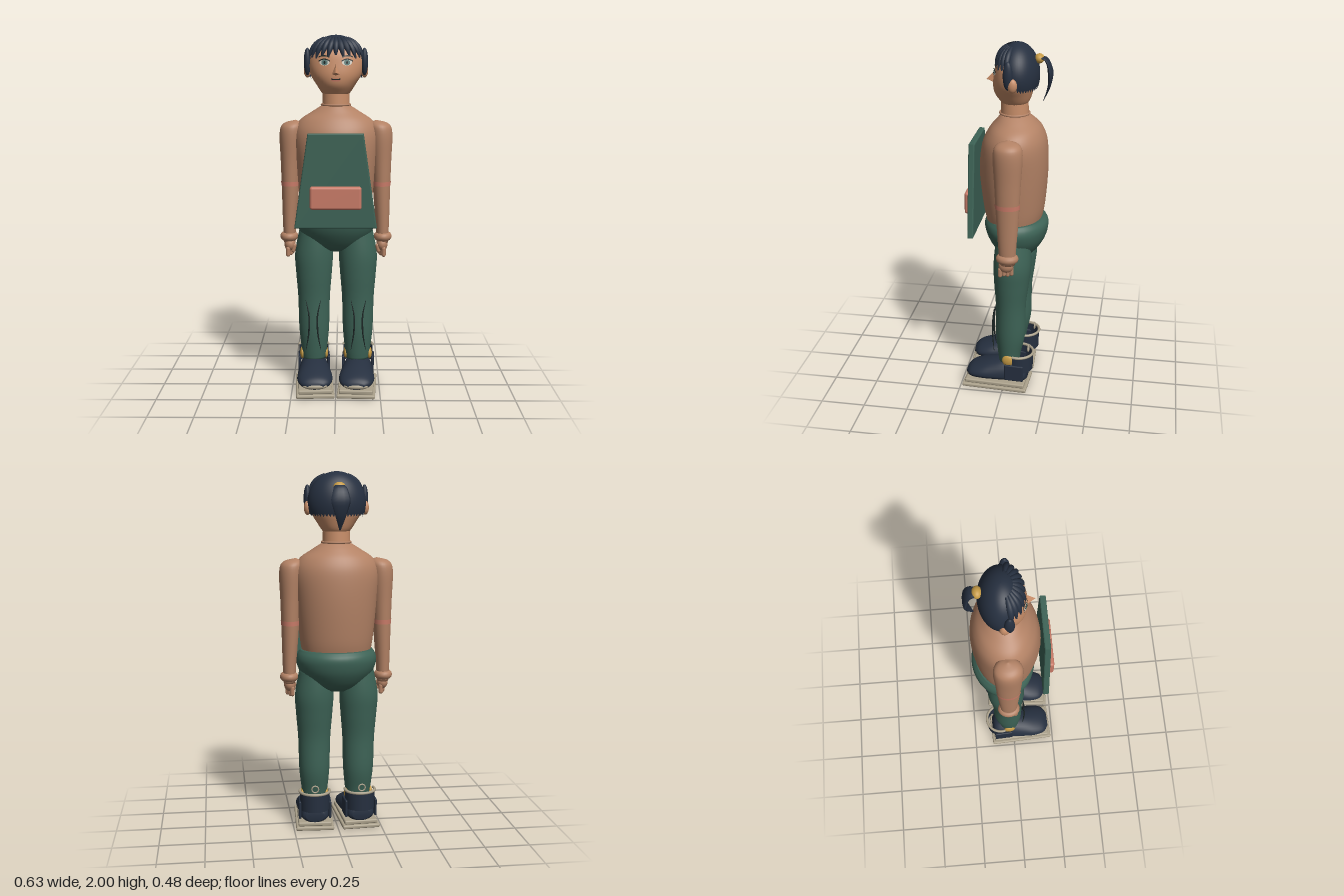
import * as THREE from 'three';
import { RoundedBoxGeometry } from 'three/addons/geometries/RoundedBoxGeometry.js';
import { ConvexGeometry } from 'three/addons/geometries/ConvexGeometry.js';

const mat = (name, color, side = THREE.FrontSide) => {
  const m = new THREE.MeshStandardMaterial({ color, side });
  m.name = name;
  return m;
};

// Smooth closed skin through elliptical rings [height, cx, cz, halfWidth, front, back]
function loft(rings, seg = 32, steps = 5) {
  const spline = new THREE.CubicInterpolant(rings.map((_, i) => i), rings.flat(), 6);
  const rows = (rings.length - 1) * steps, pos = [], idx = [];
  for (let j = 0; j <= rows; j++) {
    const [y, cx, cz, rx, rf, rb] = spline.evaluate(j / steps);
    for (let i = 0; i < seg; i++) {
      const a = (i / seg) * Math.PI * 2, c = Math.cos(a);
      pos.push(cx + Math.max(rx, 0) * Math.sin(a), y, cz + Math.max(c > 0 ? rf : rb, 0) * c);
    }
  }
  for (let j = 0; j < rows; j++) for (let i = 0; i < seg; i++) {
    const a = j * seg + i, b = j * seg + (i + 1) % seg;
    idx.push(a, b, b + seg, a, b + seg, a + seg);
  }
  const low = pos.length / 3, top = rings.length - 1;
  pos.push(rings[0][1], rings[0][0], rings[0][2], rings[top][1], rings[top][0], rings[top][2]);
  for (let i = 0; i < seg; i++) {
    const n = (i + 1) % seg;
    idx.push(low, n, i, low + 1, rows * seg + i, rows * seg + n);
  }
  const g = new THREE.BufferGeometry();
  g.setAttribute('position', new THREE.Float32BufferAttribute(pos, 3));
  g.setIndex(idx);
  g.computeVertexNormals();
  return g;
}

// Tube whose width follows a profile; flat stretches it sideways
function taperTube(points, r, profile, flat = 1) {
  const n = 16, radial = 10;
  const curve = new THREE.CatmullRomCurve3(points);
  const g = new THREE.TubeGeometry(curve, n, r, radial), p = g.attributes.position;
  const v = new THREE.Vector3();
  for (let i = 0; i < p.count; i++) {
    const u = Math.floor(i / (radial + 1)) / n, c = curve.getPointAt(u);
    v.fromBufferAttribute(p, i).sub(c).multiplyScalar(profile(u));
    p.setXYZ(i, c.x + v.x * flat, c.y + v.y, c.z + v.z);
  }
  g.computeVertexNormals();
  return g;
}

export function createModel() {
  const model = new THREE.Group();
  model.name = 'figure';
  const skin = mat('body skin', 0xb38265), face = mat('face skin', 0xc88e69);
  const green = mat('green cloth', 0x3d6356), navy = mat('navy', 0x263040, THREE.DoubleSide);
  const coral = mat('coral', 0xc97b68), stone = mat('stone', 0xaca28c);
  const gold = mat('gold', 0xc59a45), dark = mat('dark line', 0x1d2726);
  const white = mat('eye white', 0xd8d3c8), iris = mat('iris', 0x5d7f7b);

  const add = (name, geo, m, x = 0, y = 0, z = 0, parent = model) => {
    const mesh = new THREE.Mesh(geo, m);
    mesh.name = name;
    mesh.position.set(x, y, z);
    parent.add(mesh);
    return mesh;
  };
  const ball = (name, m, x, y, z, sx, sy, sz, parent) =>
    add(name, new THREE.SphereGeometry(1, 20, 14).scale(sx, sy, sz), m, x, y, z, parent);

  // Trunk
  add('torso', loft([
    [1.0, 0, -.035, .19, .15, .15], [1.1, 0, -.035, .205, .17, .17], [1.3, 0, -.035, .225, .19, .185],
    [1.45, 0, -.035, .235, .175, .18], [1.53, 0, -.035, .205, .14, .155],
    [1.58, 0, -.035, .135, .1, .115], [1.615, 0, -.035, .08, .072, .075]], 48), skin);
  add('neck', new THREE.CylinderGeometry(.073, .077, .14, 32), face, 0, 1.64, -.035);
  add('neckline', new THREE.TorusGeometry(.079, .006, 8, 40).rotateX(Math.PI / 2), skin, 0, 1.62, -.035);
  add('pelvis', loft([
    [.795, 0, -.035, .09, .045, .07], [.83, 0, -.035, .15, .09, .125], [.9, 0, -.035, .203, .137, .172],
    [.96, 0, -.035, .224, .16, .19], [1.0, 0, -.035, .219, .162, .188],
    [1.03, 0, -.035, .2, .145, .165]], 40), green);

  // Apron board and pocket
  const board = new THREE.Shape([[-.218, .967], [.218, .967], [.145, 1.47], [-.145, 1.47]]
    .map(([x, y]) => new THREE.Vector2(x, y)));
  add('apron', new THREE.ExtrudeGeometry(board, {
    depth: .02, bevelThickness: .007, bevelSize: .007, bevelSegments: 3 }), green, 0, 0, .165);
  add('pocket', new RoundedBoxGeometry(.28, .125, .045, 4, .014), coral, 0, 1.13, .2);

  // Head
  const head = add('head', loft([
    [1.665, 0, -.035, .06, .06, .06], [1.69, 0, -.035, .082, .08, .08], [1.73, 0, -.035, .108, .107, .095],
    [1.78, 0, -.035, .138, .115, .108], [1.84, 0, -.035, .15, .108, .115], [1.9, 0, -.035, .14, .095, .11],
    [1.95, 0, -.04, .1, .07, .085], [1.98, 0, -.045, .04, .03, .03], [1.985, 0, -.045, 0, 0, 0]], 48), face);
  add('nose', new ConvexGeometry([[0, 1.855, .06], [0, 1.797, .118], [-.034, 1.785, .055], [.034, 1.785, .055],
    [0, 1.775, .065], [0, 1.8, .04]].map(p => new THREE.Vector3(...p))), face);

  // Face details follow the head surface
  const ray = new THREE.Raycaster(), forward = new THREE.Vector3(0, 0, -1);
  const paint = (name, geo, m, x, y, lift) => {
    geo.translate(x, y, 0);
    const p = geo.attributes.position;
    for (let i = 0; i < p.count; i++) {
      ray.set(new THREE.Vector3(p.getX(i), p.getY(i), 1), forward);
      const hit = ray.intersectObject(head)[0];
      p.setZ(i, (hit ? hit.point.z : .05) + lift);
    }
    geo.computeVertexNormals();
    add(name, geo, m);
  };
  const arcStrip = (w, h, bend) => {
    const g = new THREE.PlaneGeometry(w, h, 10, 1), p = g.attributes.position;
    for (let i = 0; i < p.count; i++) p.setY(i, p.getY(i) - bend * (2 * p.getX(i) / w) ** 2);
    return g;
  };
  const disc = (rx, ry) => new THREE.RingGeometry(.001, 1, 24, 3).scale(rx, ry, 1);
  for (const s of [-1, 1]) {
    paint('eyeWhite', disc(.028, .016), white, s * .061, 1.851, .003);
    paint('iris', disc(.017, .015), iris, s * .061, 1.851, .005);
    paint('pupil', disc(.006, .007), dark, s * .061, 1.851, .007);
    paint('upperLash', arcStrip(.064, .006, .012), dark, s * .062, 1.869, .006);
    paint('brow', arcStrip(.06, .006, .007), dark, s * .064, 1.887, .005);
    ball('ear', face, s * .158, 1.805, -.045, .02, .038, .026);
    ball('sideLock', navy, s * .157, 1.855, -.022, .02, .075, .026);
  }
  paint('lips', disc(.026, .009), coral, 0, 1.758, .003);
  paint('mouthLine', arcStrip(.05, .006, -.003), dark, 0, 1.76, .006);

  // Hair cap with a hemline that drops from brow to nape
  const hairPoint = (a, t, grow = 1) => {
    const st = Math.sin(t) * grow, c = Math.cos(a);
    return new THREE.Vector3(.16 * st * Math.sin(a), 1.83 + .17 * grow * Math.cos(t), -.05 + .118 * st * c);
  };
  const hair = new THREE.SphereGeometry(1, 48, 20), hp = hair.attributes.position, uv = hair.attributes.uv;
  for (let i = 0; i < hp.count; i++) {
    const a = uv.getX(i) * Math.PI * 2;
    const f = THREE.MathUtils.smoothstep(-Math.cos(a), -.85, .35);
    const v = hairPoint(a, (1 - uv.getY(i)) * THREE.MathUtils.lerp(1.1, 2.0, f));
    hp.setXYZ(i, v.x, v.y, v.z);
  }
  // Sphere order runs the other way round, so turn the faces outward
  const hi = hair.index;
  for (let i = 0; i < hi.count; i += 3) {
    const b = hi.getX(i + 1);
    hi.setX(i + 1, hi.getX(i + 2));
    hi.setX(i + 2, b);
  }
  hair.computeVertexNormals();
  add('hairCap', hair, navy);
  for (let i = -5; i <= 5; i++) {
    const a = i * .24, end = 1.22 + .05 * Math.abs(i % 2) + .02 * Math.abs(i);
    const pts = [.45, .75, 1.0, end].map((t, k) => hairPoint(a + (k - 2) * .03 * Math.sign(i), t, 1.0 + .004 * k));
    add('fringeStrand', taperTube(pts, .017, u => .15 + .85 * Math.sin(Math.PI * (.12 + .83 * u))), navy);
  }
  // Ponytail
  ball('hairTie', gold, 0, 1.918, -.165, .033, .026, .026);
  add('ponytail', taperTube([[0, 1.925, -.165], [0, 1.915, -.2], [0, 1.85, -.224], [0, 1.77, -.218], [0, 1.69, -.188]]
    .map(p => new THREE.Vector3(...p)), .014, u => u < .4 ? .5 + 1.25 * u : 1.02 - 1.6 * (u - .4), 3.8), navy);

  for (const s of [-1, 1]) {
    // Arm
    add('arm', loft([
      [.84, s * .264, -.037, .032, .042, .042], [.95, s * .263, -.037, .038, .05, .05],
      [1.12, s * .258, -.037, .047, .062, .062], [1.3, s * .255, -.037, .055, .071, .071],
      [1.46, s * .25, -.037, .065, .079, .079], [1.515, s * .24, -.037, .052, .06, .06],
      [1.535, s * .225, -.037, 0, 0, 0]]), skin);
    add('armBand', new THREE.CylinderGeometry(.052, .0515, .025, 32, 1, true).scale(1, 1, 1.31),
      coral, s * .257, 1.18, -.037);
    add('bracelet', new THREE.TorusGeometry(.034, .024, 12, 28).rotateX(Math.PI / 2).scale(.88, 1, 1.07),
      skin, s * .266, .875, -.037);
    ball('palm', skin, s * .262, .83, -.03, .032, .04, .042);
    for (let k = 0; k < 4; k++)
      add('finger', new THREE.CapsuleGeometry(.012, .035, 4, 10), skin, s * (.25 + .007 * k), .795 - .004 * (k % 2), -.058 + .02 * k);
    const thumb = add('thumb', new THREE.CapsuleGeometry(.011, .03, 4, 10), skin, s * .238, .81, -.01);
    thumb.rotation.z = s * .25;

    // Leg with two shin seams
    add('leg', loft([
      [.16, s * .125, -.027, .066, .06, .06], [.22, s * .125, -.028, .074, .068, .068],
      [.34, s * .126, -.033, .086, .083, .086], [.52, s * .126, -.035, .091, .085, .086],
      [.66, s * .126, -.038, .102, .097, .1], [.78, s * .125, -.042, .108, .104, .108],
      [.93, s * .115, -.04, .09, .09, .1]]), green);
    for (const d of [-1, 1])
      add('shinSeam', taperTube([[.042, .52, .052], [.024, .43, .064], [.026, .33, .066], [.042, .23, .056]]
        .map(([x, y, z]) => new THREE.Vector3(s * .128 + d * x, y, z)), .005,
        u => .25 + .75 * Math.sin(Math.PI * u)), dark);

    // Foot, turned slightly inward
    const foot = new THREE.Group();
    foot.name = 'foot';
    foot.position.x = s * .125;
    foot.rotation.y = -s * .055;
    model.add(foot);
    add('lowerSole', new RoundedBoxGeometry(.215, .022, .378, 2, .008), stone, 0, .011, .045, foot);
    add('upperSole', new RoundedBoxGeometry(.19, .024, .35, 2, .008), stone, 0, .033, .045, foot);
    add('shoe', loft([
      [-.135, 0, -.08, .05, .03, .03], [-.11, 0, -.08, .076, .04, .075], [-.02, 0, -.08, .088, .042, .092],
      [.06, 0, -.08, .097, .042, .078], [.13, 0, -.08, .1, .042, .056], [.19, 0, -.075, .084, .035, .036],
      [.22, 0, -.07, .045, .02, .015]]).rotateX(Math.PI / 2), navy, 0, 0, 0, foot);
    ball('toeCap', stone, 0, .064, .2, .07, .019, .026, foot);
    const cuff = new THREE.CylinderGeometry(.085, .083, .105, 32, 1, true, Math.PI * .42, Math.PI * 1.16);
    add('cuff', cuff, navy, 0, .165, -.082, foot);
    add('cuffRim', new THREE.TorusGeometry(.085, .008, 8, 32, Math.PI * 1.16).rotateZ(-Math.PI * .08)
      .rotateX(-Math.PI / 2), stone, 0, .217, -.082, foot);
    add('pullTab', new THREE.TorusGeometry(.019, .004, 8, 20), stone, 0, .243, -.14, foot);
    for (const d of [-1, 1]) {
      add('sideStrap', new RoundedBoxGeometry(.014, .1, .11, 2, .006), navy, d * .085, .115, -.07, foot);
      ball('ankleBadge', gold, d * .068, .185, -.032, .014, .034, .034, foot);
    }
  }
  return model;
}
